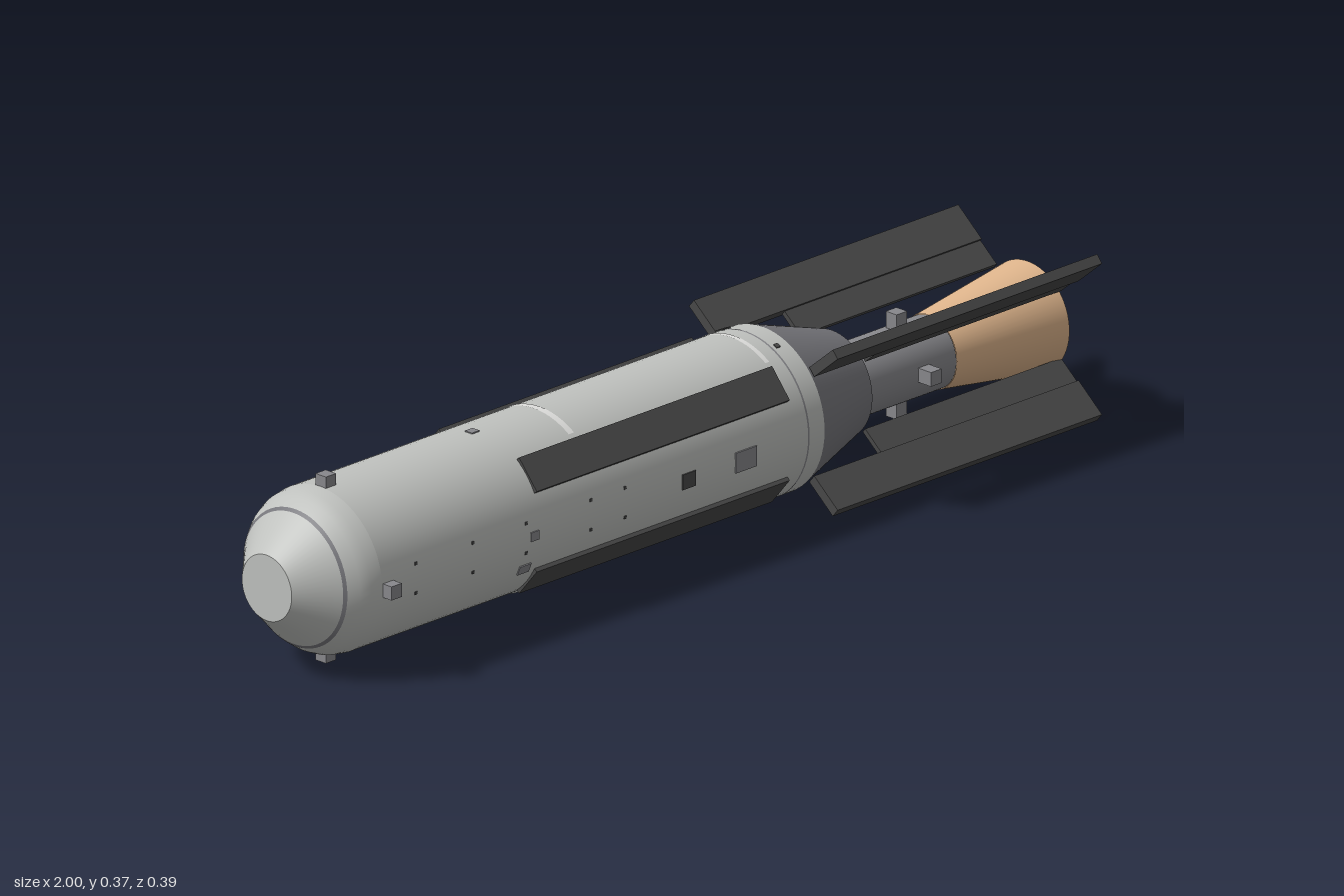
import * as THREE from 'three';

const AXIS_Y = 0.185;   // hull axis height
const ENGINE_Y = 0.178; // engine axis height
const R = 0.163;        // hull radius
const QUARTER = Math.PI / 2;
const DIAGONALS = [40, 140, 220, 320].map(THREE.MathUtils.degToRad);

const paint = (name, color, side = THREE.FrontSide) => {
  const m = new THREE.MeshStandardMaterial({ color, side });
  m.name = name;
  return m;
};

export function createModel() {
  const model = new THREE.Group();
  model.name = 'spaceStation';
  const hullGrey = paint('hull light grey', 0xbfc1be);
  const midGrey = paint('mid grey', 0x88888c);
  const coneGrey = paint('cone grey', 0x77777c);
  const panelDark = paint('panel charcoal', 0x494949);
  const nozzleTan = paint('nozzle tan', 0xdfb58c, THREE.DoubleSide);
  const strapWhite = paint('strap pale grey', 0xdededc);
  const markOrange = paint('marker orange', 0xc98a3c);

  const add = (name, geometry, material) => {
    const mesh = new THREE.Mesh(geometry, material);
    mesh.name = name;
    model.add(mesh);
    return mesh;
  };

  // Surface of revolution around x, from [x, radius] pairs
  const revolve = (name, pairs, material, y = AXIS_Y) => {
    const points = pairs.map(([x, r]) => new THREE.Vector2(r, x));
    const mesh = add(name, new THREE.LatheGeometry(points, 64), material);
    mesh.rotation.z = -QUARTER;
    mesh.position.y = y;
    return mesh;
  };

  // Box at a radius and angle about x; angle 0 faces +z, 90 degrees is up
  const radialBox = (name, [length, width, depth], x, r, angle, material, y = AXIS_Y) => {
    const mesh = add(name, new THREE.BoxGeometry(length, width, depth), material);
    mesh.position.set(x, y + r * Math.sin(angle), r * Math.cos(angle));
    mesh.rotation.x = -angle;
    return mesh;
  };

  // Hull and docking nose
  revolve('noseCap', [[-1, 0], [-1, 0.065]], hullGrey);
  revolve('noseCone', [[-1, 0.065], [-0.93, 0.13]], hullGrey);
  revolve('noseRim', [[-0.93, 0.13], [-0.925, 0.136]], coneGrey);
  revolve('noseShoulder', [[-0.925, 0.136], [-0.905, 0.15], [-0.885, 0.159], [-0.86, R]], hullGrey);
  revolve('hull', [[-0.86, R], [0.302, R]], hullGrey);
  revolve('hullSeam', [[0.258, R + 0.0008], [0.262, R + 0.0008]], midGrey);

  // Aft cone and engine
  revolve('aftCone', [[0.302, R], [0.485, 0.106]], coneGrey);
  revolve('aftConeEnd', [[0.485, 0.106], [0.485, 0]], coneGrey);
  revolve('engineBody', [[0.48, 0.072], [0.74, 0.072]], midGrey, ENGINE_Y);
  revolve('engineThroat', [[0.742, 0.072], [0.742, 0]], midGrey, ENGINE_Y);
  revolve('nozzleOuter', [[0.74, 0.073], [1, 0.109]], nozzleTan, ENGINE_Y);
  revolve('nozzleInner', [[0.742, 0.071], [1, 0.105]], nozzleTan, ENGINE_Y);
  revolve('nozzleLip', [[1, 0.109], [1, 0.105]], nozzleTan, ENGINE_Y);

  // Four-fold thruster blocks on the nose and the engine
  for (let i = 0; i < 4; i++) {
    const a = i * QUARTER;
    radialBox('noseThruster', [0.027, 0.027, 0.03], -0.845, 0.17, a, midGrey);
    radialBox('engineThruster', [0.028, 0.028, 0.036], 0.655, 0.086, a, midGrey, ENGINE_Y);
  }

  // Diagonal solar fins and hull radiator panels
  for (const a of DIAGONALS) {
    radialBox('outerFin', [0.695, 0.02, 0.08], 0.6525, 0.205, a, panelDark);
    radialBox('innerFin', [0.515, 0.01, 0.057], 0.7425, 0.138, a, panelDark);
    radialBox('hullPanel', [0.665, 0.072, 0.02], -0.11, 0.157, a, panelDark);
  }

  // Pale straps curving over the top of the hull
  const half = 0.58;
  for (const [x, w] of [[-0.29, 0.014], [0.225, 0.01]]) {
    const strap = add('topStrap', new THREE.CylinderGeometry(
      R + 0.001, R + 0.001, w, 24, 1, true, QUARTER * 3 - half, half * 2), strapWhite);
    strap.rotation.z = -QUARTER;
    strap.position.set(x, AXIS_Y, 0);
  }

  // Thin service hatches on both sides: x, angle offset, length, width
  const hatches = [
    [-0.055, 0, 0.035, 0.03, panelDark],
    [0.095, 0, 0.055, 0.04, midGrey],
    [-0.46, 0, 0.02, 0.018, midGrey],
    [-0.475, -0.41, 0.03, 0.02, midGrey],
  ];
  for (const side of [0, Math.PI]) {
    for (const [x, a, l, w, mat] of hatches) {
      radialBox('hatch', [l, w, 0.004], x, R, side + (side ? -a : a), mat);
    }
  }
  radialBox('topHatch', [0.02, 0.02, 0.004], 0.265, R, Math.PI - 1.16, panelDark);
  radialBox('topVent', [0.01, 0.01, 0.004], 0.275, R, 1.16, panelDark);
  radialBox('topMarker', [0.02, 0.018, 0.004], -0.46, R, QUARTER, midGrey);

  // Rows of small markers between the panels
  for (const a of [-0.18, 0.18]) {
    for (const x of [-0.77, -0.62, -0.48, -0.31, -0.22]) {
      radialBox('frontMarker', [0.006, 0.006, 0.003], x, R, a, panelDark);
    }
    for (let i = 0; i < 10; i++) {
      radialBox('rearMarker', [0.01, 0.004, 0.003], -0.5 + i * 0.045, R, Math.PI + a, markOrange);
    }
  }

  // Round belly port with a small block beside it
  const port = add('bellyPort', new THREE.CylinderGeometry(0.029, 0.029, 0.016, 32), hullGrey);
  port.position.set(-0.37, 0.02, 0);
  const block = add('bellyBlock', new THREE.BoxGeometry(0.02, 0.012, 0.012), midGrey);
  block.position.set(-0.43, 0.023, -0.032);

  return model;
}
